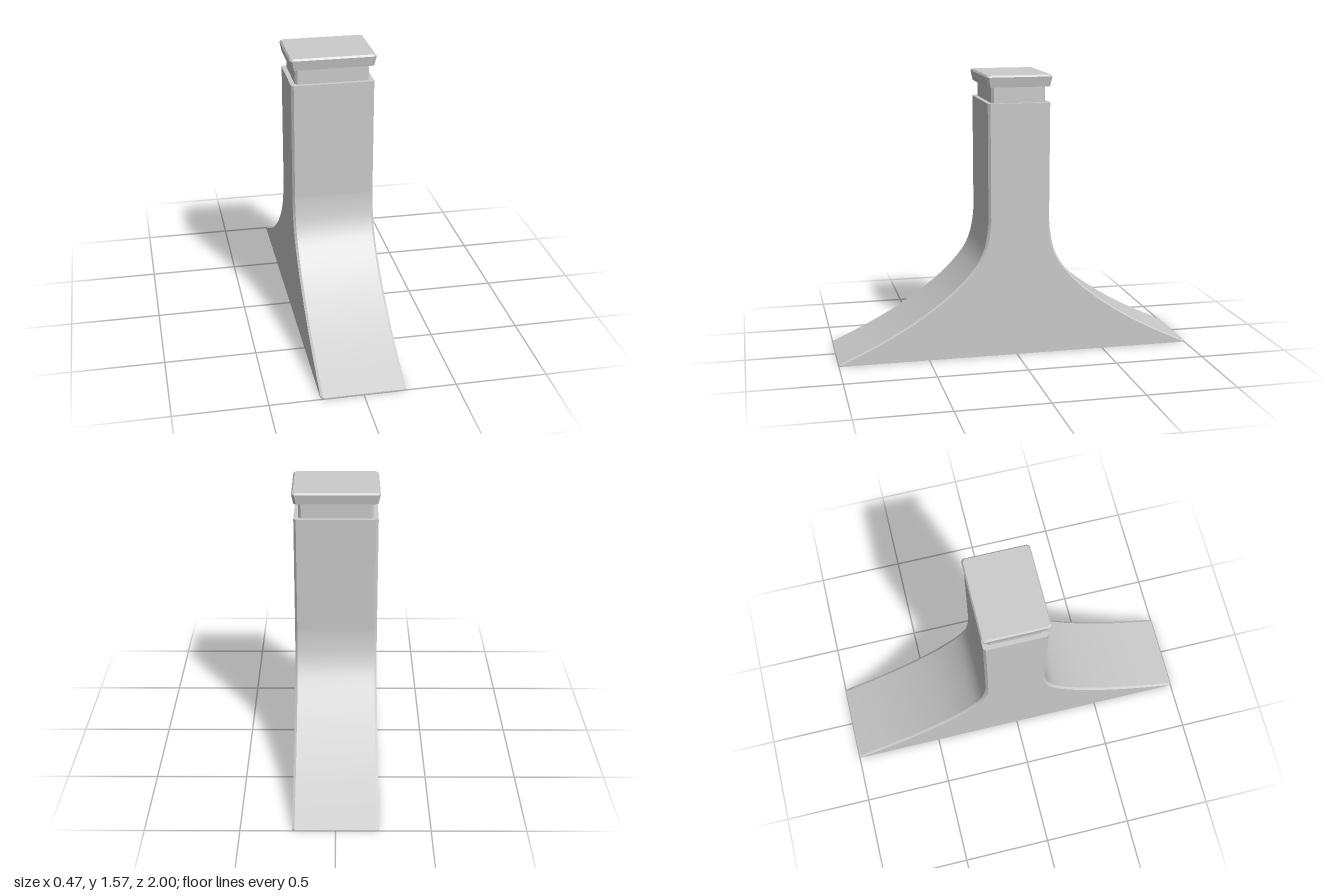
import * as THREE from 'three';

const material = new THREE.MeshStandardMaterial({ color: 0xcccccc, side: THREE.DoubleSide });

// Chamfered rectangle at height y: half width w, half depth d, depth centre zc, chamfer c
function ring(y, w, d, zc = -0.012, c = 0.013) {
  const cx = Math.min(c, w), cz = Math.min(c, d);
  return [
    [-w + cx, d], [w - cx, d], [w, d - cz], [w, -d + cz],
    [w - cx, -d], [-w + cx, -d], [-w, -d + cz], [-w, d - cz],
  ].map(([x, z]) => [x, y, z + zc]);
}

// Joins rings from bottom to top; each side is its own strip, so corners stay sharp
function loft(name, rings) {
  const positions = [], indices = [];
  for (let s = 0; s < 8; s++) {
    const start = positions.length / 3;
    rings.forEach((r, i) => {
      positions.push(...r[s], ...r[(s + 1) % 8]);
      if (i === 0) return;
      const a = start + 2 * (i - 1);
      indices.push(a, a + 1, a + 3, a, a + 3, a + 2);
    });
  }
  const geometry = new THREE.BufferGeometry();
  geometry.setAttribute('position', new THREE.Float32BufferAttribute(positions, 3));
  geometry.setIndex(indices);
  geometry.computeVertexNormals();
  const mesh = new THREE.Mesh(geometry, material);
  mesh.name = name;
  return mesh;
}

export function createModel() {
  const group = new THREE.Group();
  group.name = 'flaredChimney';

  // Flared shaft, open underneath: half depth and height along the sweep
  const flare = new THREE.SplineCurve([
    [1, 0.006], [0.79, 0.105], [0.595, 0.215], [0.4, 0.355],
    [0.265, 0.49], [0.205, 0.59], [0.18, 0.69], [0.172, 0.77],
  ].map(([d, y]) => new THREE.Vector2(d, y)));
  const bodyWidth = 0.228;
  const body = flare.getPoints(21).map(
    (p) => ring(p.y, bodyWidth, p.x, -0.012 * (1 - p.x) / 0.828));
  const bodyTop = ring(1.42, bodyWidth, 0.174);
  group.add(loft('flaredShaft', [...body, bodyTop]));
  group.add(loft('bottomLip', [ring(0, bodyWidth, 1, 0), body[0]]));

  // Recessed neck and the ledge around it
  const neckBottom = ring(1.42, 0.203, 0.15);
  const neckTop = ring(1.507, 0.203, 0.15);
  group.add(loft('shaftLedge', [bodyTop, neckBottom]));
  group.add(loft('neck', [neckBottom, neckTop]));

  // Cap: underside, outward leaning sides, bevel and flat top
  const capBottom = ring(1.507, 0.226, 0.173);
  const capEdge = ring(1.562, 0.237, 0.183);
  const capRim = ring(1.572, 0.229, 0.175);
  group.add(loft('capUnderside', [neckTop, capBottom]));
  group.add(loft('capSides', [capBottom, capEdge]));
  group.add(loft('capBevel', [capEdge, capRim]));
  group.add(loft('capTop', [capRim, ring(1.572, 0, 0)]));

  return group;
}
